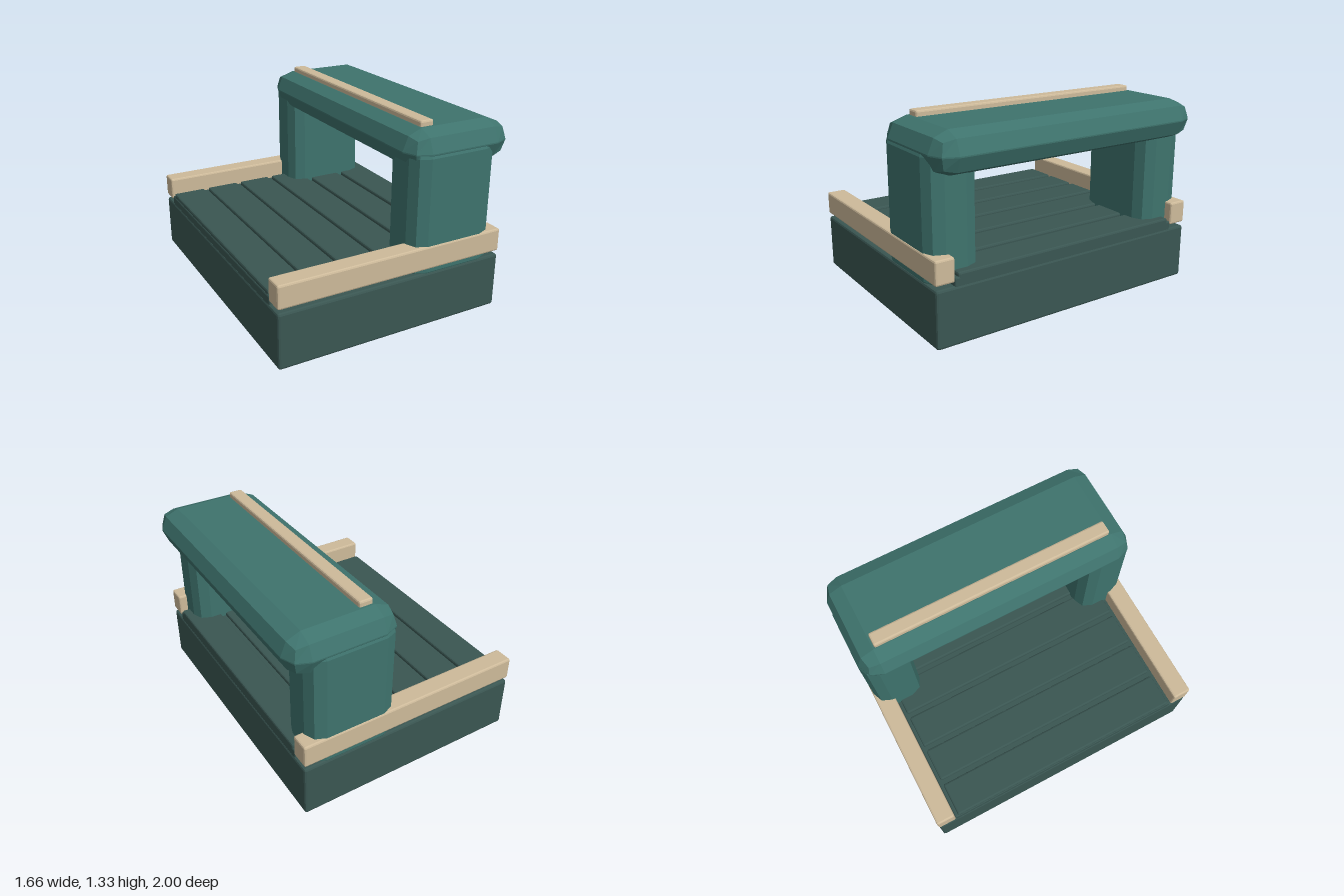
import * as THREE from 'three';
import { RoundedBoxGeometry } from 'three/addons/geometries/RoundedBoxGeometry.js';

function material(name, color) {
  const m = new THREE.MeshStandardMaterial({ color, flatShading: true });
  m.name = name;
  return m;
}

export function createModel() {
  const group = new THREE.Group();
  const teal = material('teal', 0x3e736d);
  const darkTeal = material('dark teal', 0x3a5652);
  const tan = material('tan', 0xcdba9a);

  // Bevelled block spanning the given limits on each axis
  function block(name, mat, [x0, x1], [y0, y1], [z0, z1], bevel) {
    const geo = new RoundedBoxGeometry(x1 - x0, y1 - y0, z1 - z0, 1, bevel);
    const mesh = new THREE.Mesh(geo, mat);
    mesh.name = name;
    mesh.position.set((x0 + x1) / 2, (y0 + y1) / 2, (z0 + z1) / 2);
    group.add(mesh);
  }

  // Base and raised deck
  block('base', darkTeal, [-0.83, 0.77], [0, 0.376], [-0.997, 0.997], 0.015);
  block('deck', darkTeal, [-0.825, 0.765], [0.3, 0.43], [-0.87, 0.87], 0.01);

  // Six slats across the deck
  for (let i = 0; i < 6; i++) {
    const x = -0.82 + i * 0.27;
    block('slat', darkTeal, [x, x + 0.235], [0.4, 0.455], [-0.845, 0.845], 0.012);
  }

  // Side rails and posts, mirrored front to back
  for (const s of [1, -1]) {
    const span = (a, b) => (s > 0 ? [a, b] : [-b, -a]);
    block('sideRail', tan, [-0.83, 0.77], [0.403, 0.56], span(0.87, 1), 0.012);
    block('post', teal, [0.1, 0.71], [0.28, 1.23], span(0.65, 0.993), 0.1);
  }

  // Thick top bar with its accent strip
  block('topBar', teal, [0.075, 0.828], [1.02, 1.288], [-0.988, 0.988], 0.13);
  block('accentStrip', tan, [0.21, 0.305], [1.275, 1.325], [-0.845, 0.845], 0.012);

  return group;
}
